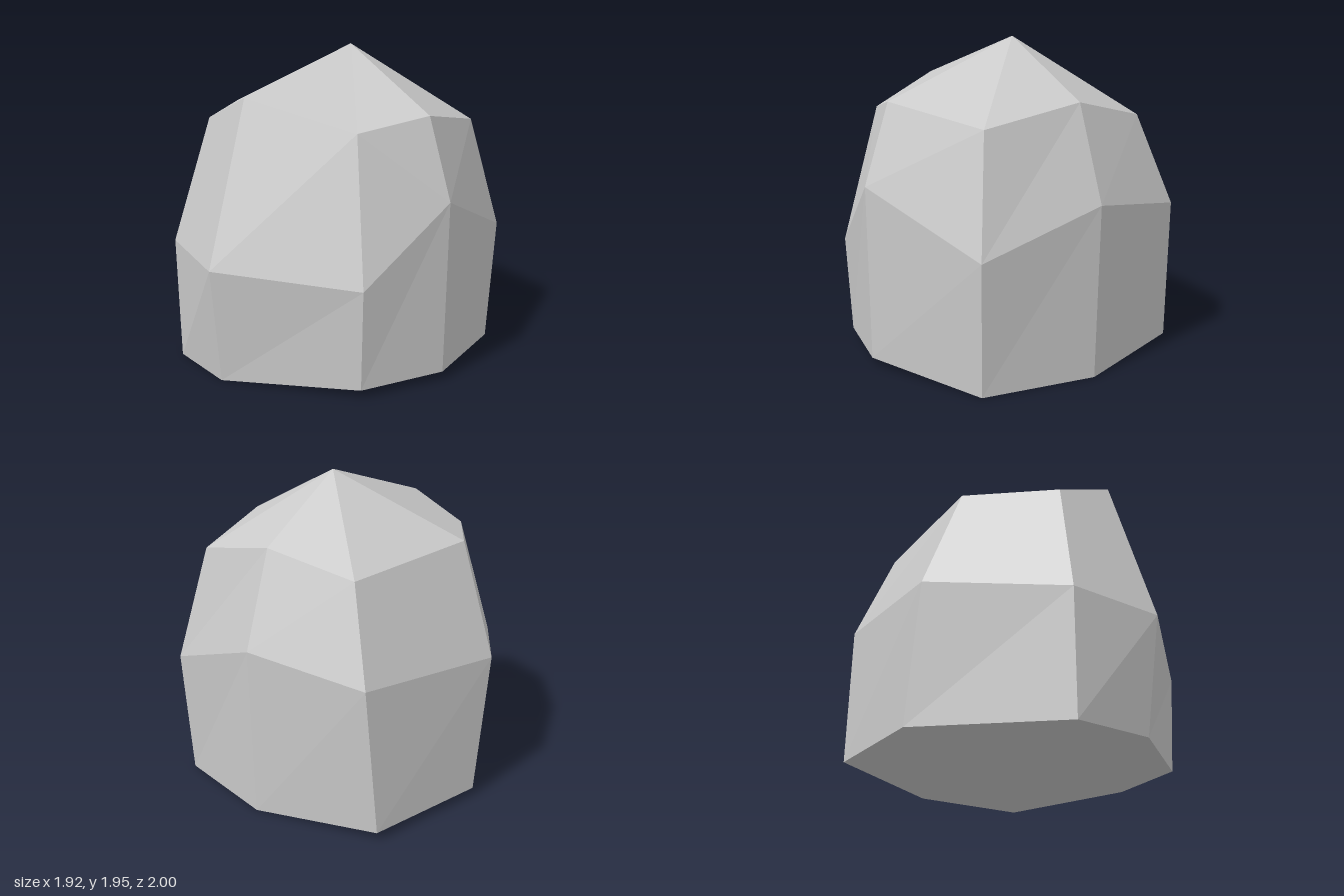
import * as THREE from 'three';

// Eight-sided rings, listed from the front round through +x
const base = [
  [0, 0, 0.91], [0.77, 0.05, 0.51], [0.94, 0.05, -0.03], [0.7, 0, -0.81],
  [0, 0, -0.97], [-0.77, 0.05, -0.8], [-0.94, 0.05, -0.03], [-0.49, 0, 0.83],
];
const middle = [
  [0.025, 0.71, 1], [0.8, 0.655, 0.53], [0.96, 1.1, -0.03], [0.73, 0.78, -0.85],
  [0, 1.03, -1], [-0.73, 0.93, -0.86], [-0.96, 0.885, 0.09], [-0.51, 0.76, 0.84],
];
const shoulder = [
  [0.01, 1.685, 0.695], [0.62, 1.51, 0.395], [0.795, 1.585, -0.03], [0.6, 1.475, -0.7],
  [0, 1.595, -0.805], [-0.55, 1.48, -0.72], [-0.715, 1.555, 0.13], [-0.385, 1.525, 0.64],
];
const peak = [0.01, 1.95, -0.2];
const underside = [0.01, 0, -0.22];

function createRockGeometry() {
  const positions = [];
  const triangle = (a, b, c) => positions.push(...a, ...b, ...c);
  // A four-cornered facet, folded along the diagonal a-c
  const quad = (a, b, c, d) => {
    triangle(a, b, c);
    triangle(a, c, d);
  };

  for (let i = 0; i < base.length; i++) {
    const j = (i + 1) % base.length;
    triangle(underside, base[j], base[i]);
    quad(base[i], base[j], middle[j], middle[i]);
    // One upper facet folds the other way to stay convex
    if (i === 1) quad(middle[j], shoulder[j], shoulder[i], middle[i]);
    else quad(middle[i], middle[j], shoulder[j], shoulder[i]);
    triangle(shoulder[i], shoulder[j], peak);
  }

  const geometry = new THREE.BufferGeometry();
  geometry.setAttribute('position', new THREE.Float32BufferAttribute(positions, 3));
  geometry.computeVertexNormals(); // unshared corners give flat facets
  return geometry;
}

export function createModel() {
  const stone = new THREE.MeshStandardMaterial({ color: 0xc9c9c9, flatShading: true });
  stone.name = 'stone grey';

  const rock = new THREE.Mesh(createRockGeometry(), stone);
  rock.name = 'rock';

  const model = new THREE.Group();
  model.name = 'boulder';
  model.add(rock);
  return model;
}
